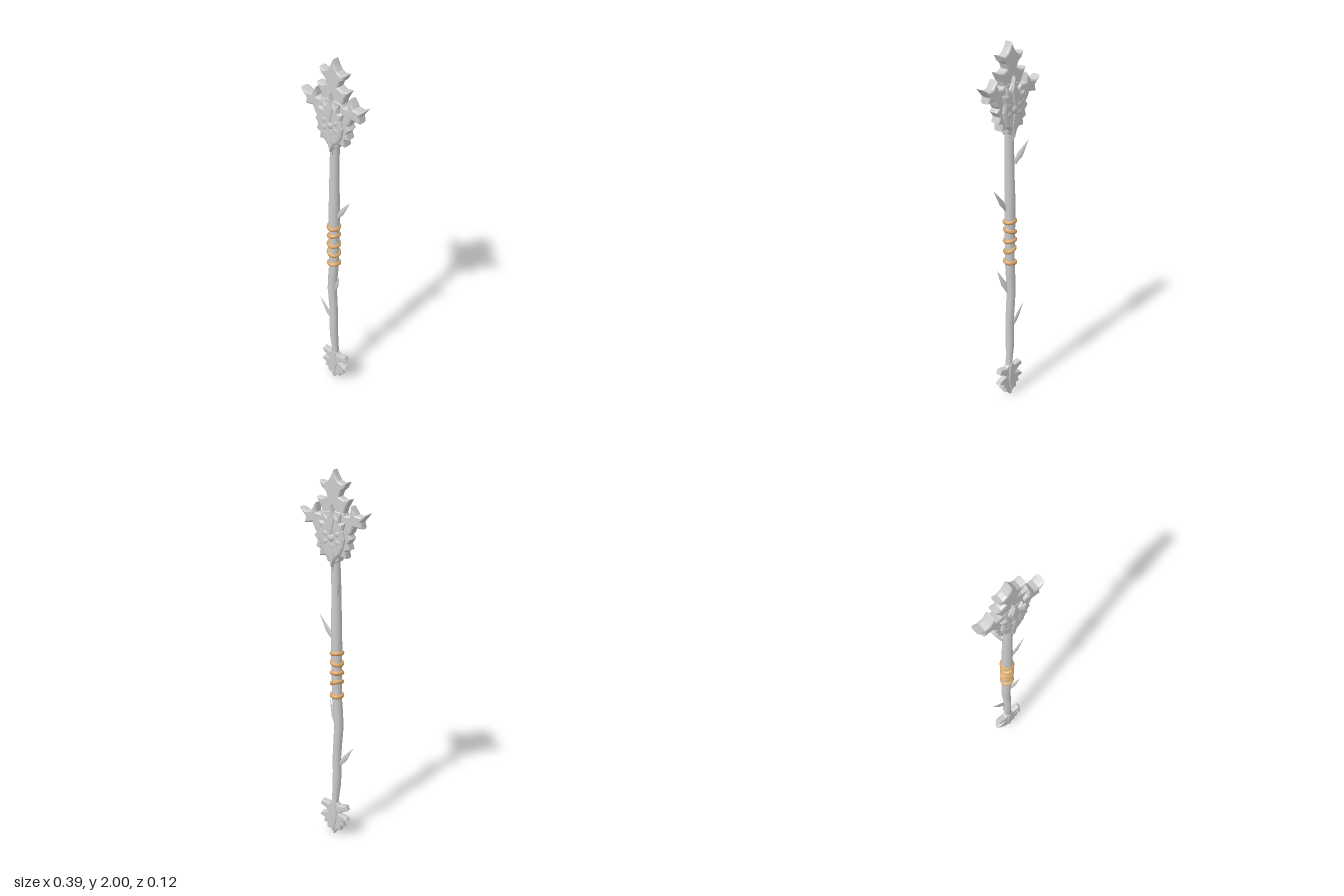
import * as THREE from 'three';

const ZC = 0.012; // depth of the staff's middle plane

const grey = new THREE.MeshStandardMaterial({ color: 0xcccccc, side: THREE.DoubleSide });
const rope = new THREE.MeshStandardMaterial({ color: 0xd9a566 });

function add(parent, name, geometry, material = grey) {
  const mesh = new THREE.Mesh(geometry, material);
  mesh.name = name;
  parent.add(mesh);
  return mesh;
}

// Bevelled plate of the given full thickness, centred on z = ZC
function plate(points, thickness, bevel, chamfer = thickness * 0.25) {
  const shape = new THREE.Shape(points.map(([x, y]) => new THREE.Vector2(x, y)));
  const depth = thickness - 2 * chamfer;
  return new THREE.ExtrudeGeometry(shape, {
    depth, bevelEnabled: true, bevelSegments: 2, bevelThickness: chamfer,
    bevelSize: bevel, bevelOffset: -bevel,
  }).translate(0, 0, ZC - depth / 2);
}

// Full outline from its right half, listed bottom to top with both ends on x = 0
function mirrored(half) {
  return [...half, ...half.slice(1, -1).reverse().map(([x, y]) => [-x, y])];
}

// Gnarled shaft: a lathe whose rings are shifted sideways, rows are [y, radius, x, z]
function shaftGeometry() {
  const rows = [
    [0.1, 0.012, 0, 0.012], [0.2, 0.018, 0, 0.013], [0.3, 0.023, -0.008, 0.014],
    [0.38, 0.024, -0.01, 0.016], [0.47, 0.023, -0.008, 0.016], [0.56, 0.024, -0.014, 0.015],
    [0.65, 0.025, -0.02, 0.016], [0.73, 0.026, -0.016, 0.015], [0.82, 0.026, -0.009, 0.014],
    [0.95, 0.027, -0.008, 0.014], [1.08, 0.029, -0.008, 0.012], [1.2, 0.029, -0.007, 0.012],
    [1.32, 0.026, -0.006, 0.013], [1.42, 0.025, -0.005, 0.013], [1.52, 0.024, -0.003, 0.012],
    [1.6, 0.024, 0, 0.012],
  ];
  const g = new THREE.LatheGeometry(rows.map(([y, r]) => new THREE.Vector2(r, y)), 12);
  const p = g.attributes.position;
  for (let i = 0; i < p.count; i++) {
    const [, , x, z] = rows[i % rows.length];
    p.setXYZ(i, p.getX(i) + x, p.getY(i), p.getZ(i) + z);
  }
  g.computeVertexNormals();
  return g;
}

// Flat thorn running from base to tip, broad in the direction it leans
function addThorn(parent, base, tip) {
  const a = new THREE.Vector3(...base), b = new THREE.Vector3(...tip);
  const up = b.clone().sub(a), length = up.length();
  up.normalize();
  const side = new THREE.Vector3(up.x, 0, up.z).cross(up).normalize();
  const wide = new THREE.Vector3().crossVectors(up, side);
  const profile = [[0.008, 0], [0.011, 0.2], [0.015, 0.38], [0.009, 0.65], [0, 1]];
  const g = new THREE.LatheGeometry(profile.map(([r, t]) => new THREE.Vector2(r, t * length)), 8);
  g.scale(1, 1, 0.42);
  g.applyMatrix4(new THREE.Matrix4().makeBasis(wide, up, side).setPosition(a));
  add(parent, 'thorn', g);
}

function buildHead() {
  const head = new THREE.Group();
  head.name = 'leafHead';

  // Crown leaf
  add(head, 'crownLeaf', plate(mirrored([
    [0, 1.72], [0.05, 1.76], [0.07, 1.82], [0.095, 1.865], [0.06, 1.862], [0.035, 1.875],
    [0.045, 1.9], [0.065, 1.915], [0.08, 1.945], [0.05, 1.938], [0.028, 1.95], [0.012, 1.975], [0, 2],
  ]), 0.05, 0.008));

  // Back leaf with a thorny rim
  add(head, 'rimLeaf', plate(mirrored([
    [0, 1.5], [0.012, 1.545], [0.035, 1.555], [0.038, 1.58], [0.078, 1.575], [0.074, 1.61],
    [0.098, 1.62], [0.088, 1.65], [0.108, 1.675], [0.09, 1.7], [0.085, 1.76], [0.06, 1.8], [0, 1.81],
  ]), 0.056, 0.007));

  // Side leaves
  const sideLeaf = [
    [0.03, 1.65], [0.085, 1.68], [0.105, 1.705], [0.118, 1.735], [0.165, 1.73], [0.158, 1.762],
    [0.193, 1.805], [0.155, 1.79], [0.128, 1.795], [0.1, 1.835], [0.094, 1.79], [0.06, 1.785], [0.03, 1.76],
  ];
  for (const s of [1, -1]) {
    const outline = sideLeaf.map(([x, y]) => [s * x, y]);
    add(head, s > 0 ? 'leftLeaf' : 'rightLeaf', plate(outline, 0.056, 0.009));
  }

  // Thick body shield
  add(head, 'bodyLeaf', plate(mirrored([
    [0, 1.53], [0.022, 1.565], [0.05, 1.59], [0.066, 1.625], [0.076, 1.67], [0.066, 1.715],
    [0.078, 1.755], [0.05, 1.755], [0.055, 1.8], [0.03, 1.78], [0, 1.82],
  ]), 0.082, 0.014));

  // Central blade above and below the flower
  add(head, 'upperBlade', plate(mirrored([
    [0, 1.68], [0.01, 1.71], [0.022, 1.765], [0.012, 1.8], [0, 1.84],
  ]), 0.092, 0.007));
  add(head, 'lowerBlade', plate(mirrored([
    [0, 1.525], [0.016, 1.565], [0.02, 1.6], [0.01, 1.64], [0, 1.66],
  ]), 0.088, 0.007));

  // Six-petal flower on front and back
  for (const s of [1, -1]) {
    const flower = new THREE.Group();
    flower.name = s > 0 ? 'frontFlower' : 'backFlower';
    flower.position.set(0, 1.675, ZC + s * 0.036);
    for (let i = 0; i < 6; i++) {
      const petal = new THREE.LatheGeometry(
        [[0, 0.01], [0.014, 0.03], [0.017, 0.042], [0.01, 0.06], [0, 0.08]].map(([r, y]) => new THREE.Vector2(r, y)), 8);
      petal.scale(1, 1, 0.5).rotateZ(i * Math.PI / 3);
      add(flower, 'petal', petal);
    }
    const heart = add(flower, 'flowerHeart', new THREE.SphereGeometry(0.02, 12, 8));
    heart.scale.z = 0.6;
    head.add(flower);
  }
  return head;
}

export function createModel() {
  const staff = new THREE.Group();
  staff.name = 'staff';
  add(staff, 'shaft', shaftGeometry());
  staff.add(buildHead());

  // Thorns
  addThorn(staff, [-0.025, 1.385, -0.005], [-0.066, 1.515, -0.06]);
  addThorn(staff, [0.012, 1.13, 0.016], [0.1, 1.262, 0.02]);
  addThorn(staff, [0.002, 0.65, 0.018], [0.055, 0.79, 0.046]);
  addThorn(staff, [-0.02, 0.42, 0.014], [-0.112, 0.55, 0.012]);

  // Rope grip: [height, tilt about z, tilt about x]
  const grip = new THREE.Group();
  grip.name = 'ropeGrip';
  for (const [y, tz, tx] of [[1.068, -0.1, 0.1], [1.015, 0.28, -0.1], [0.96, -0.08, 0.12],
    [0.905, -0.35, 0.25], [0.835, 0.12, -0.1]]) {
    const ring = add(grip, 'ropeLoop', new THREE.TorusGeometry(0.026, 0.012, 10, 24).rotateX(Math.PI / 2), rope);
    ring.position.set(-0.009, y, 0.014);
    ring.rotation.set(tx, 0, tz);
  }
  staff.add(grip);

  // Jagged foot leaf and its raised rib
  add(staff, 'footLeaf', plate(mirrored([
    [0, 0], [0.018, 0.03], [0.045, 0.035], [0.042, 0.062], [0.066, 0.062], [0.058, 0.09], [0.09, 0.1],
    [0.078, 0.12], [0.035, 0.135], [0.055, 0.152], [0.088, 0.168], [0.075, 0.195], [0.03, 0.187],
    [0.016, 0.2], [0.014, 0.23], [0, 0.24],
  ]), 0.034, 0.006));
  add(staff, 'footRib', plate(mirrored([
    [0, 0.02], [0.012, 0.06], [0.022, 0.11], [0.018, 0.16], [0.012, 0.2], [0, 0.22],
  ]), 0.046, 0.008));

  return staff;
}
